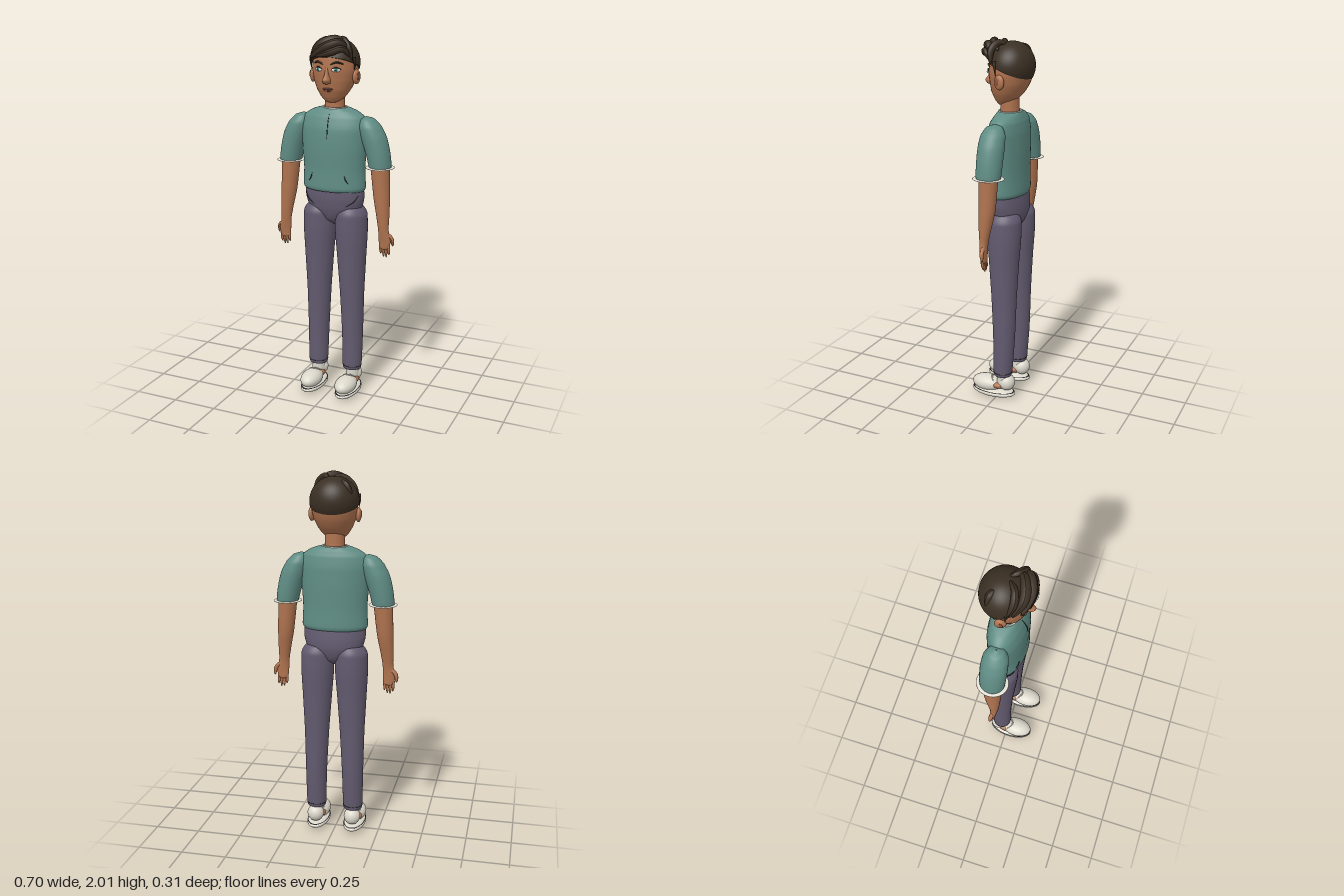
import * as THREE from 'three';

const colours = {
  skin: 0xb0734f, shirt: 0x5f8c84, trousers: 0x635b70, hair: 0x3a2f23, shoe: 0xdcd8cc,
  trim: 0xe6e2d8, thread: 0x2c2a2c, lips: 0x8a4f3c, iris: 0x4f8a86,
};
const mats = {};
for (const [name, color] of Object.entries(colours)) {
  mats[name] = new THREE.MeshStandardMaterial({ color });
  mats[name].name = name;
}

// Rings along a smooth path; each section is [y, centreX, radiusX, frontZ, backZ], listed upwards
function rings(sections, sub = 6) {
  const centres = new THREE.CatmullRomCurve3(sections.map(([y, cx, , f, b]) => new THREE.Vector3(cx, y, (f + b) / 2)));
  const radii = new THREE.CatmullRomCurve3(sections.map(([, , r, f, b]) => new THREE.Vector3(r, (f - b) / 2, 0)));
  const n = (sections.length - 1) * sub;
  return Array.from({ length: n + 1 }, (_, i) => {
    const c = centres.getPoint(i / n), r = radii.getPoint(i / n);
    return { c, rx: Math.max(r.x, 0.0005), rz: Math.max(r.y, 0.0005) };
  });
}

// Closed elliptical skin over the rings
function loft(sections, n = 36) {
  const rows = rings(sections), pos = [], index = [];
  for (const { c, rx, rz } of rows) for (let j = 0; j < n; j++) {
    const a = j / n * Math.PI * 2;
    pos.push(c.x + rx * Math.cos(a), c.y, c.z + rz * Math.sin(a));
  }
  for (let i = 0; i < rows.length - 1; i++) for (let j = 0; j < n; j++) {
    const a = i * n + j, b = i * n + (j + 1) % n;
    index.push(a, a + n, b, b, a + n, b + n);
  }
  const g = new THREE.BufferGeometry();
  g.setAttribute('position', new THREE.Float32BufferAttribute(pos, 3));
  g.setIndex(index);
  g.computeVertexNormals();
  return g;
}

// Front depth of a lofted form at x, y
function frontZ(sections, x, y) {
  let best = null;
  for (const r of rings(sections, 24)) if (!best || Math.abs(r.c.y - y) < Math.abs(best.c.y - y)) best = r;
  const u = (x - best.c.x) / best.rx;
  return best.c.z + best.rz * Math.sqrt(Math.max(0, 1 - u * u));
}

// Tube through points whose thickness follows a rule
function strand(points, radius, taper = () => 1, sides = 10) {
  const curve = new THREE.CatmullRomCurve3(points.map(p => new THREE.Vector3(...p)));
  const seg = 20, g = new THREE.TubeGeometry(curve, seg, radius, sides);
  const p = g.attributes.position, v = new THREE.Vector3();
  for (let i = 0; i < p.count; i++) {
    const t = Math.floor(i / (sides + 1)) / seg, c = curve.getPointAt(t);
    v.fromBufferAttribute(p, i).sub(c).multiplyScalar(Math.max(0.02, taper(t))).add(c);
    p.setXYZ(i, v.x, v.y, v.z);
  }
  g.computeVertexNormals();
  return g;
}
const lens = t => Math.pow(Math.sin(Math.PI * t), 0.6);

export function createModel() {
  const model = new THREE.Group();
  const add = (name, geo, mat) => {
    const m = new THREE.Mesh(geo, mats[mat]);
    m.name = name;
    model.add(m);
    return m;
  };
  const blob = (name, mat, pos, size, ry = 0) => {
    const m = add(name, new THREE.SphereGeometry(1, 28, 18), mat);
    m.position.set(...pos);
    m.scale.set(...size);
    m.rotation.y = ry;
    return m;
  };
  // Thin line laid on the front of a lofted form
  const seam = (name, form, pts, mat = 'thread', r = 0.0025) =>
    add(name, strand(pts.map(([x, y]) => [x, y, frontZ(form, x, y) + 0.002]), r, lens, 6), mat);

  // Head, neck and nose
  const head = [
    [1.657, 0, 0.001, 0.016, 0.012], [1.665, 0, 0.032, 0.036, -0.015], [1.69, 0, 0.065, 0.053, -0.06],
    [1.73, 0, 0.092, 0.07, -0.1], [1.78, 0, 0.112, 0.079, -0.13], [1.84, 0, 0.122, 0.084, -0.147],
    [1.9, 0, 0.117, 0.08, -0.146], [1.95, 0, 0.084, 0.045, -0.11], [1.978, 0, 0.001, -0.03, -0.032],
  ];
  add('head', loft(head), 'skin');
  add('neck', loft([[1.58, 0, 0.062, 0.035, -0.085], [1.64, 0, 0.053, 0.024, -0.075], [1.74, 0, 0.052, 0.024, -0.075]]), 'skin');
  add('nose', loft([[1.762, 0, 0.001, 0.086, 0.084], [1.77, 0, 0.02, 0.106, 0.05], [1.785, 0, 0.021, 0.116, 0.05],
    [1.81, 0, 0.013, 0.1, 0.05], [1.85, 0, 0.009, 0.084, 0.05], [1.865, 0, 0.001, 0.07, 0.06]], 20), 'skin');
  blob('upperLip', 'lips', [0, 1.738, frontZ(head, 0, 1.738)], [0.03, 0.005, 0.006]);
  blob('lowerLip', 'lips', [0, 1.729, frontZ(head, 0, 1.729)], [0.023, 0.006, 0.006]);
  seam('mouthLine', head, [[-0.031, 1.737], [0, 1.734], [0.031, 1.737]].map(([x, y]) => [x, y]), 'thread', 0.0035);

  // Hair cap with its tilted hairline
  const cap = new THREE.Group();
  cap.name = 'hairCap';
  const shell = new THREE.Mesh(new THREE.SphereGeometry(1, 48, 24, 0, Math.PI * 2, 0, 1.66), mats.hair);
  const base = new THREE.Mesh(new THREE.CircleGeometry(Math.sin(1.66), 48).rotateX(Math.PI / 2), mats.hair);
  base.position.y = Math.cos(1.66);
  shell.name = 'hairShell';
  base.name = 'hairUnderside';
  cap.add(shell, base);
  cap.position.set(0, 1.865, -0.034);
  cap.scale.set(0.131, 0.13, 0.123);
  cap.rotation.x = -0.4;
  model.add(cap);

  // Swept fringe and crown locks
  const locks = [
    [[[0.1, 1.93, 0.03], [0.07, 1.975, 0.065], [0, 1.955, 0.092], [-0.1, 1.895, 0.075]], 0.026],
    [[[0.09, 1.95, 0.0], [0.04, 1.99, 0.045], [-0.04, 1.96, 0.07], [-0.115, 1.88, 0.035]], 0.026],
    [[[0.115, 1.9, 0.03], [0.085, 1.945, 0.075], [0.03, 1.93, 0.098], [-0.06, 1.905, 0.102]], 0.02],
    [[[0.03, 1.975, -0.03], [0.06, 1.99, 0.01], [0.1, 1.955, 0.035], [0.122, 1.885, 0.03]], 0.019],
    [[[-0.03, 1.975, -0.06], [-0.07, 1.955, -0.085], [-0.105, 1.905, -0.095]], 0.018],
    [[[0.02, 1.985, -0.02], [-0.03, 1.985, 0.02], [-0.08, 1.945, 0.03], [-0.12, 1.88, 0.01]], 0.02],
  ];
  for (const [pts, r] of locks) add('hairLock', strand(pts, r, lens), 'hair');

  // Torso of the shirt
  const torso = [
    [1.183, 0, 0.15, 0.055, -0.095], [1.188, 0, 0.17, 0.076, -0.115], [1.21, 0, 0.179, 0.083, -0.122],
    [1.3, 0, 0.175, 0.081, -0.119], [1.42, 0, 0.182, 0.083, -0.119], [1.52, 0, 0.188, 0.077, -0.116],
    [1.585, 0, 0.172, 0.058, -0.106], [1.615, 0, 0.13, 0.042, -0.095], [1.632, 0, 0.075, 0.032, -0.085],
    [1.634, 0, 0.04, 0.01, -0.06],
  ];
  add('shirtBody', loft(torso, 48), 'shirt');
  const collar = add('collar', new THREE.TorusGeometry(1, 0.07, 10, 40).rotateX(Math.PI / 2), 'trim');
  collar.position.set(0, 1.632, -0.026);
  collar.scale.set(0.066, 0.07, 0.058);
  seam('placket', torso, [[0, 1.605], [0, 1.55], [0, 1.475]]);

  // Hips of the trousers
  const hips = [
    [0.985, 0, 0.005, -0.02, -0.04], [1.02, 0, 0.07, 0.03, -0.095], [1.09, 0, 0.155, 0.058, -0.12],
    [1.15, 0, 0.169, 0.066, -0.118], [1.2, 0, 0.168, 0.066, -0.112],
  ];
  add('hips', loft(hips, 48), 'trousers');

  for (const s of [1, -1]) {
    const side = sec => sec.map(([y, cx, ...rest]) => [y, s * cx, ...rest]);

    // Ears, eyes and brows
    blob('ear', 'skin', [s * 0.124, 1.797, -0.02], [0.016, 0.039, 0.029], s * -0.2);
    blob('earInner', 'lips', [s * 0.137, 1.8, -0.016], [0.004, 0.02, 0.013]);
    const ez = frontZ(head, 0.049, 1.838);
    blob('eyeWhite', 'trim', [s * 0.049, 1.838, ez], [0.023, 0.011, 0.007], s * 0.4);
    blob('iris', 'iris', [s * 0.05, 1.838, ez + 0.004], [0.0095, 0.0098, 0.005], s * 0.4);
    blob('pupil', 'thread', [s * 0.05, 1.838, ez + 0.0075], [0.0045, 0.0048, 0.003], s * 0.4);
    seam('upperLid', head, [[s * 0.024, 1.838], [s * 0.048, 1.85], [s * 0.075, 1.839]], 'thread', 0.0045);
    seam('eyebrow', head, [[s * 0.02, 1.864], [s * 0.05, 1.876], [s * 0.085, 1.866]], 'hair', 0.006);
    add('sideburn', strand([[s * 0.12, 1.9, 0.01], [s * 0.125, 1.865, 0.005], [s * 0.121, 1.825, 0.002]], 0.011, t => 1 - t), 'hair');

    // Sleeve with hem
    add('sleeve', loft(side([
      [1.322, 0.262, 0.05, 0.03, -0.075], [1.328, 0.262, 0.059, 0.042, -0.088], [1.4, 0.249, 0.065, 0.046, -0.092],
      [1.48, 0.226, 0.069, 0.047, -0.092], [1.54, 0.203, 0.062, 0.042, -0.086], [1.58, 0.188, 0.038, 0.018, -0.064],
      [1.594, 0.182, 0.002, -0.022, -0.026],
    ])), 'shirt');
    add('sleeveHem', loft(side([[1.321, 0.262, 0.054, 0.036, -0.082], [1.323, 0.262, 0.061, 0.044, -0.09],
      [1.329, 0.261, 0.061, 0.044, -0.09], [1.331, 0.261, 0.054, 0.036, -0.082]])), 'trim');

    // Arm and palm
    add('arm', loft(side([
      [0.875, 0.298, 0.001, -0.012, -0.016], [0.885, 0.297, 0.026, -0.001, -0.027], [0.93, 0.298, 0.034, 0.004, -0.028],
      [0.985, 0.291, 0.029, 0.012, -0.032], [1.05, 0.286, 0.034, 0.018, -0.044], [1.16, 0.275, 0.044, 0.024, -0.065],
      [1.35, 0.26, 0.052, 0.028, -0.075],
    ])), 'skin');

    // Fingers and thumb
    for (let i = 0; i < 4; i++) {
      const x = s * (0.275 + 0.0155 * i), tip = [0.85, 0.834, 0.832, 0.846][i];
      add('finger', strand([[x, 0.905, -0.013], [x, 0.87, -0.015], [x, tip, -0.021]], 0.0085, t => Math.sqrt(1 - t * t * t)), 'skin');
    }
    add('thumb', strand([[s * 0.312, 0.965, -0.014], [s * 0.336, 0.94, -0.018], [s * 0.342, 0.898, -0.022]], 0.0115,
      t => Math.sqrt(1 - t * t * t)), 'skin');

    // Trouser leg with hem stitch
    add('trouserLeg', loft(side([
      [0.136, 0.105, 0.03, 0, -0.06], [0.14, 0.105, 0.051, 0.017, -0.08], [0.17, 0.105, 0.055, 0.021, -0.085],
      [0.35, 0.104, 0.059, 0.023, -0.098], [0.6, 0.1, 0.068, 0.033, -0.106], [0.8, 0.097, 0.08, 0.046, -0.116],
      [0.98, 0.094, 0.09, 0.058, -0.128], [1.05, 0.093, 0.089, 0.059, -0.128], [1.095, 0.092, 0.064, 0.036, -0.106],
      [1.112, 0.091, 0.002, -0.034, -0.038],
    ])), 'trousers');
    add('hemStitch', loft(side([[0.156, 0.105, 0.05, 0.016, -0.08], [0.157, 0.105, 0.0553, 0.0212, -0.0852],
      [0.16, 0.105, 0.0555, 0.0214, -0.0854], [0.161, 0.105, 0.05, 0.016, -0.08]])), 'thread');

    // Pocket lines on shirt and trousers
    seam('shirtPocket', torso, [[s * 0.122, 1.235], [s * 0.105, 1.252], [s * 0.092, 1.284]]);
    seam('trouserPocket', hips, [[s * 0.155, 1.17], [s * 0.135, 1.135], [s * 0.092, 1.105]]);

    // Shoe: sole, toe, heel, foot and lace
    const x = s * 0.106;
    blob('sole', 'shoe', [x, 0.027, 0.025], [0.063, 0.027, 0.13]);
    blob('soleLine', 'thread', [x, 0.037, 0.026], [0.0605, 0.004, 0.127]);
    blob('shoeToe', 'shoe', [x, 0.072, 0.062], [0.058, 0.046, 0.092]);
    blob('shoeHeel', 'shoe', [x, 0.096, -0.056], [0.047, 0.048, 0.046]);
    blob('foot', 'skin', [x, 0.076, -0.008], [0.048, 0.024, 0.05]);
    add('lace', strand([[x - 0.04, 0.1, 0.01], [x, 0.119, 0.035], [x + 0.04, 0.1, 0.01]], 0.004, lens, 8), 'trim');
    add('ankle', new THREE.CylinderGeometry(0.038, 0.038, 0.08, 24).translate(x, 0.12, -0.035), 'shoe');
  }
  return model;
}
